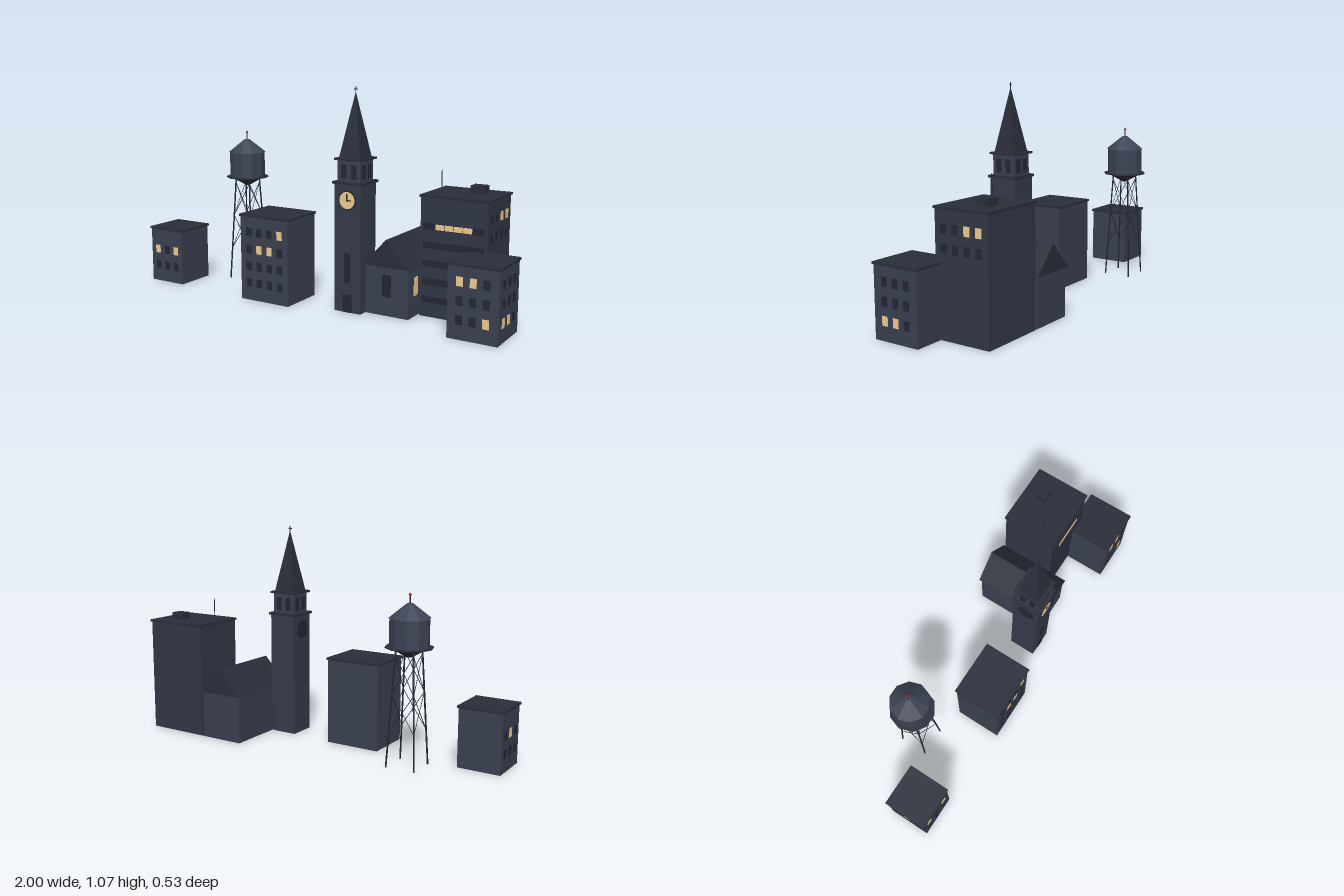
import * as THREE from 'three';

const mat = (color) => new THREE.MeshStandardMaterial({ color, flatShading: true });
const WALL = mat(0x3a4050), TOWERWALL = mat(0x343a49), DARKWALL = mat(0x313746), ROOF = mat(0x2a2e3a);
const PANE = mat(0x232736), LIT = mat(0xf0cb8c), METAL = mat(0x22252f), TANK = mat(0x3d4354), RED = mat(0xa02020);

function add(parent, name, geometry, material, x = 0, y = 0, z = 0) {
  const m = new THREE.Mesh(geometry, material);
  m.name = name;
  m.position.set(x, y, z);
  parent.add(m);
  return m;
}

// Box given by its extents on each axis
function box(parent, name, material, [x0, x1], [y0, y1], [z0, z1]) {
  return add(parent, name, new THREE.BoxGeometry(x1 - x0, y1 - y0, z1 - z0), material,
    (x0 + x1) / 2, (y0 + y1) / 2, (z0 + z1) / 2);
}

// Thin round bar between two points
function bar(parent, name, a, b, r, material = METAL) {
  const p = new THREE.Vector3(...a), q = new THREE.Vector3(...b);
  const m = add(parent, name, new THREE.CylinderGeometry(r, r, p.distanceTo(q), 6), material);
  m.position.copy(p).add(q).multiplyScalar(0.5);
  m.quaternion.setFromUnitVectors(new THREE.Vector3(0, 1, 0), q.sub(p).normalize());
  return m;
}

// Window grid on a wall facing 'x' or 'z'; lit holds "row,column" keys
function windows(parent, axis, plane, cols, rows, lit = [], w = 0.031, h = 0.043) {
  rows.forEach((y, r) => cols.forEach((c, i) => {
    const on = lit.includes(`${r},${i}`);
    const g = axis === 'z' ? new THREE.BoxGeometry(w, h, 0.004) : new THREE.BoxGeometry(0.004, h, w);
    add(parent, on ? 'litWindow' : 'window', g, on ? LIT : PANE,
      axis === 'z' ? c : plane, y, axis === 'z' ? plane : c);
  }));
}

// Plain block with an overhanging roof slab
function building(root, name, x, top, z, material = WALL) {
  const g = new THREE.Group();
  g.name = name;
  root.add(g);
  const o = 0.006;
  box(g, 'walls', material, x, [0, top - 0.01], z);
  box(g, 'roofSlab', ROOF, [x[0] - o, x[1] + o], [top - 0.011, top], [z[0] - o, z[1] + o]);
  return g;
}

function church(root) {
  const g = new THREE.Group();
  g.name = 'church';
  root.add(g);

  // Bell tower, stacked from square blocks
  const t = new THREE.Group();
  t.name = 'bellTower';
  t.position.set(0.207, 0, 0.103);
  g.add(t);
  const block = (name, w, y0, y1, m) => box(t, name, m, [-w / 2, w / 2], [y0, y1], [-w / 2, w / 2]);
  block('shaft', 0.143, 0, 0.62, TOWERWALL);
  block('lowerCornice', 0.16, 0.619, 0.631, ROOF);
  block('belfry', 0.122, 0.63, 0.732, WALL);
  block('upperCornice', 0.148, 0.731, 0.741, ROOF);
  for (const s of [-1, 1]) {
    windows(t, 'z', s * 0.061, [-0.027, 0.027], [0.678], [], 0.03, 0.067);
    windows(t, 'x', s * 0.061, [-0.027, 0.027], [0.678], [], 0.03, 0.067);
  }
  add(t, 'spire', new THREE.ConeGeometry(0.08, 0.31, 4), ROOF, 0, 0.895, 0).rotation.y = Math.PI / 4;
  bar(t, 'crossPost', [0, 1.03, 0], [0, 1.072, 0], 0.002);
  bar(t, 'crossArm', [-0.01, 1.06, 0], [0.01, 1.06, 0], 0.002);
  windows(t, 'z', 0.0715, [0], [0.217], [], 0.032, 0.145);
  box(t, 'door', PANE, [-0.024, 0.024], [0, 0.087], [0.07, 0.0735]);

  // Clock at three o'clock, and a dark dial on the side
  const disc = (r, d) => new THREE.CylinderGeometry(r, r, d, 24).rotateX(Math.PI / 2);
  add(t, 'clockRim', disc(0.047, 0.006), PANE, 0, 0.545, 0.0735);
  add(t, 'clockFace', disc(0.041, 0.006), LIT, 0, 0.545, 0.0745);
  box(t, 'minuteHand', METAL, [-0.003, 0.003], [0.542, 0.576], [0.077, 0.079]);
  box(t, 'hourHand', METAL, [-0.003, 0.023], [0.542, 0.548], [0.077, 0.079]);
  add(t, 'sideDial', disc(0.047, 0.004), PANE, -0.0725, 0.545, 0).rotation.y = Math.PI / 2;

  // Nave with gable roof
  box(g, 'nave', WALL, [0.277, 0.507], [0, 0.242], [-0.253, 0.125]);
  const gable = new THREE.Shape([[0.267, 0.237], [0.516, 0.237], [0.391, 0.37]].map((p) => new THREE.Vector2(...p)));
  add(g, 'naveRoof', new THREE.ExtrudeGeometry(gable, { depth: 0.397, bevelEnabled: false }), ROOF, 0, 0, -0.263);
  windows(g, 'z', 0.125, [0.392], [0.146], [], 0.046, 0.108);
  windows(g, 'x', 0.507, [0.05], [0.146], ['0,0'], 0.04, 0.09);
}

function waterTower(root) {
  const g = new THREE.Group();
  g.name = 'waterTower';
  g.position.set(-0.58, 0, -0.088);
  root.add(g);
  const drum = (name, rTop, rBottom, y0, y1, m) =>
    add(g, name, new THREE.CylinderGeometry(rTop, rBottom, y1 - y0, 10), m, 0, (y0 + y1) / 2, 0).rotation.y = Math.PI / 2;
  drum('tank', 0.093, 0.093, 0.56, 0.697, TANK);
  drum('tankRoof', 0.014, 0.098, 0.695, 0.762, TANK);
  drum('tankBottom', 0.093, 0.012, 0.515, 0.56, ROOF);
  drum('walkway', 0.112, 0.112, 0.558, 0.564, ROOF);
  bar(g, 'beaconPole', [0, 0.75, 0], [0, 0.8, 0], 0.003);
  add(g, 'beacon', new THREE.OctahedronGeometry(0.009), RED, 0, 0.801, 0);

  // Tapering legs with two tiers of cross braces on each side
  const corners = [[1, 1], [1, -1], [-1, -1], [-1, 1]];
  const at = ([sx, sz], y) => {
    const r = 0.072 - 0.028 * (y / 0.56);
    return [sx * r, y, sz * r];
  };
  corners.forEach((c, i) => {
    const d = corners[(i + 1) % 4];
    bar(g, 'leg', at(c, 0), at(c, 0.56), 0.004);
    for (const [lo, hi] of [[0.17, 0.35], [0.35, 0.53]]) {
      bar(g, 'brace', at(c, lo), at(d, hi), 0.0016);
      bar(g, 'brace', at(d, lo), at(c, hi), 0.0016);
    }
  });
}

export function createModel() {
  const root = new THREE.Group();
  root.name = 'townSkyline';

  const shop = building(root, 'smallHouse', [-0.994, -0.784], 0.295, [0.018, 0.23]);
  windows(shop, 'z', 0.23, [-0.95, -0.888, -0.825], [0.176, 0.09], ['0,0', '0,2']);
  windows(shop, 'x', -0.994, [0.062, 0.124, 0.186], [0.176, 0.09], ['0,1']);

  const flats = building(root, 'apartmentBlock', [-0.363, -0.081], 0.436, [0.016, 0.257]);
  windows(flats, 'z', 0.257, [-0.313, -0.252, -0.19, -0.129], [0.348, 0.262, 0.176, 0.09], ['0,3', '1,1', '1,2']);

  church(root);

  // Office block with window bands
  const office = building(root, 'officeBlock', [0.517, 0.847], 0.581, [-0.253, 0.029], DARKWALL);
  windows(office, 'z', 0.029, [0.682], [0.435, 0.347, 0.259, 0.172, 0.085], [], 0.305, 0.032);
  windows(office, 'z', 0.031, [0.615, 0.661, 0.707, 0.753], [0.435], ['0,0', '0,1', '0,2', '0,3'], 0.043, 0.026);
  windows(office, 'x', 0.847, [-0.017, -0.079, -0.141, -0.203], [0.488, 0.403], ['0,2', '0,3']);
  box(office, 'rooftopUnit', ROOF, [0.695, 0.764], [0.58, 0.617], [-0.187, -0.128]);
  bar(office, 'antenna', [0.577, 0.58, -0.065], [0.577, 0.692, -0.065], 0.002);

  const corner = building(root, 'cornerHouse', [0.756, 0.992], 0.342, [0.008, 0.248]);
  windows(corner, 'z', 0.248, [0.812, 0.875, 0.936], [0.262, 0.176, 0.09], ['0,0', '0,1', '2,2']);
  windows(corner, 'x', 0.992, [0.19, 0.128, 0.066], [0.262, 0.176, 0.09], ['2,0', '2,1']);

  waterTower(root);
  return root;
}
